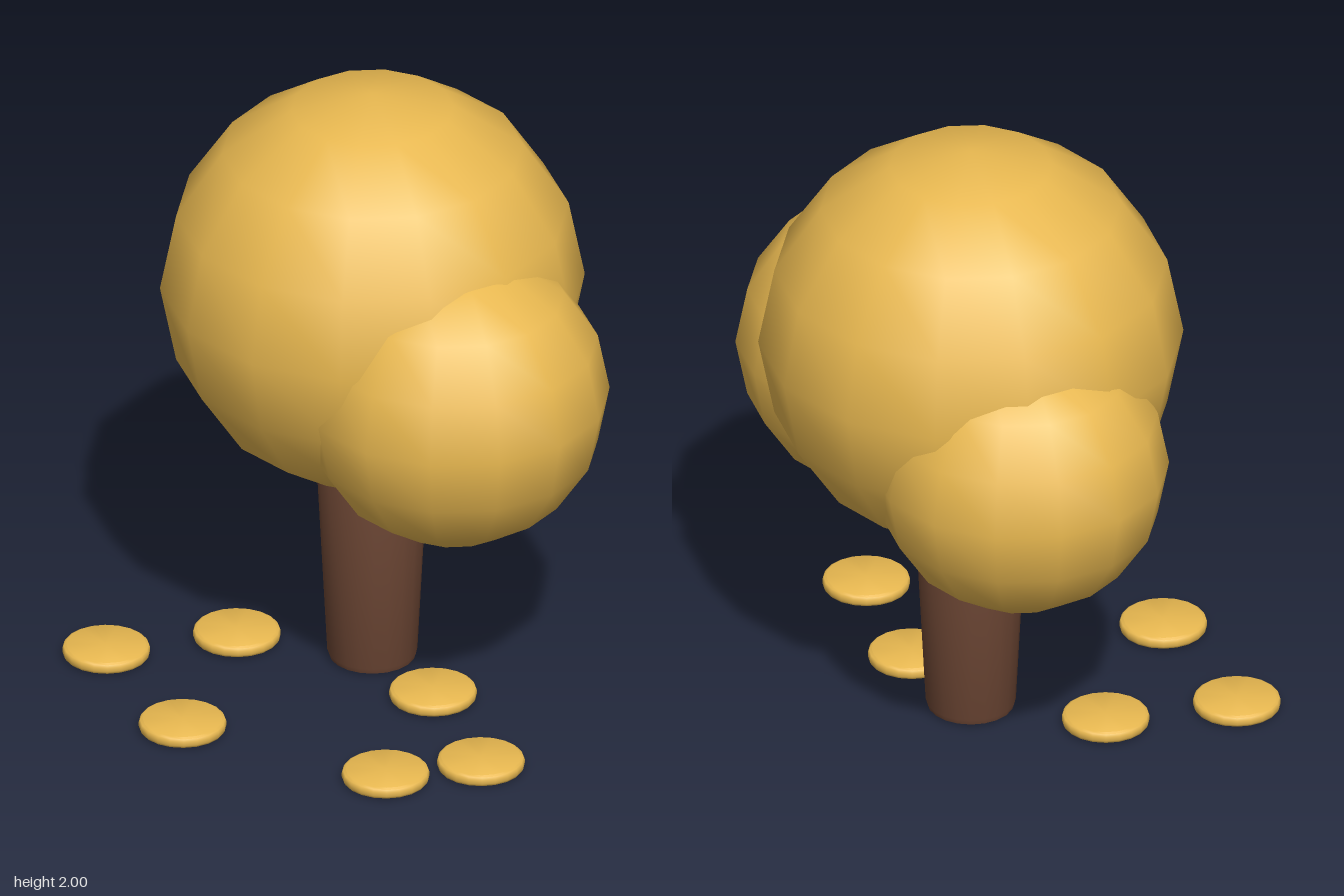
import * as THREE from 'three';
import { toCreasedNormals } from 'three/addons/utils/BufferGeometryUtils.js';

const gold = new THREE.MeshStandardMaterial({ color: 0xe8b850 });
const bark = new THREE.MeshStandardMaterial({ color: 0x6b4533 });

// Turned solid from [radius, height] pairs, listed bottom to top
function turned(profile, sides) {
  const points = profile.map(([r, y]) => new THREE.Vector2(r, y));
  return toCreasedNormals(new THREE.LatheGeometry(points, sides), 0.7);
}

export function createModel() {
  const group = new THREE.Group();

  function add(name, geometry, material, x, y, z) {
    const mesh = new THREE.Mesh(geometry, material);
    mesh.name = name;
    mesh.position.set(x, y, z);
    group.add(mesh);
  }

  // Trunk: widens upward, edges slightly rounded
  const trunk = turned([
    [0, 0.005], [0.12, 0.005], [0.135, 0.012], [0.141, 0.03],
    [0.175, 0.7], [0.172, 0.715], [0.16, 0.725], [0, 0.725],
  ], 20);
  add('trunk', trunk, bark, -0.035, 0, -0.105);

  // Crown: three overlapping low-poly balls with smooth shading
  const crown = [
    ['crownMain', 0.665, -0.035, 1.335, -0.105],
    ['crownLeft', 0.487, 0.372, 1.127, 0.038],
    ['crownRight', 0.465, -0.367, 1.07, -0.305],
  ];
  for (const [name, r, x, y, z] of crown) {
    add(name, new THREE.SphereGeometry(r, 14, 8, Math.PI / 2), gold, x, y, z);
  }

  // Flat round discs lying around the trunk
  const disc = turned([
    [0, 0], [0.125, 0], [0.133, 0.004], [0.137, 0.012],
    [0.137, 0.026], [0.133, 0.034], [0.125, 0.038], [0, 0.038],
  ], 20);
  const spots = [[-0.72, 0.365], [-0.445, 0.045], [-0.25, 0.63], [0.28, 0.02], [0.46, 0.545], [0.66, 0.31]];
  spots.forEach(([x, z], i) => add(`groundDisc${i + 1}`, disc, gold, x, 0.007, z));

  return group;
}
